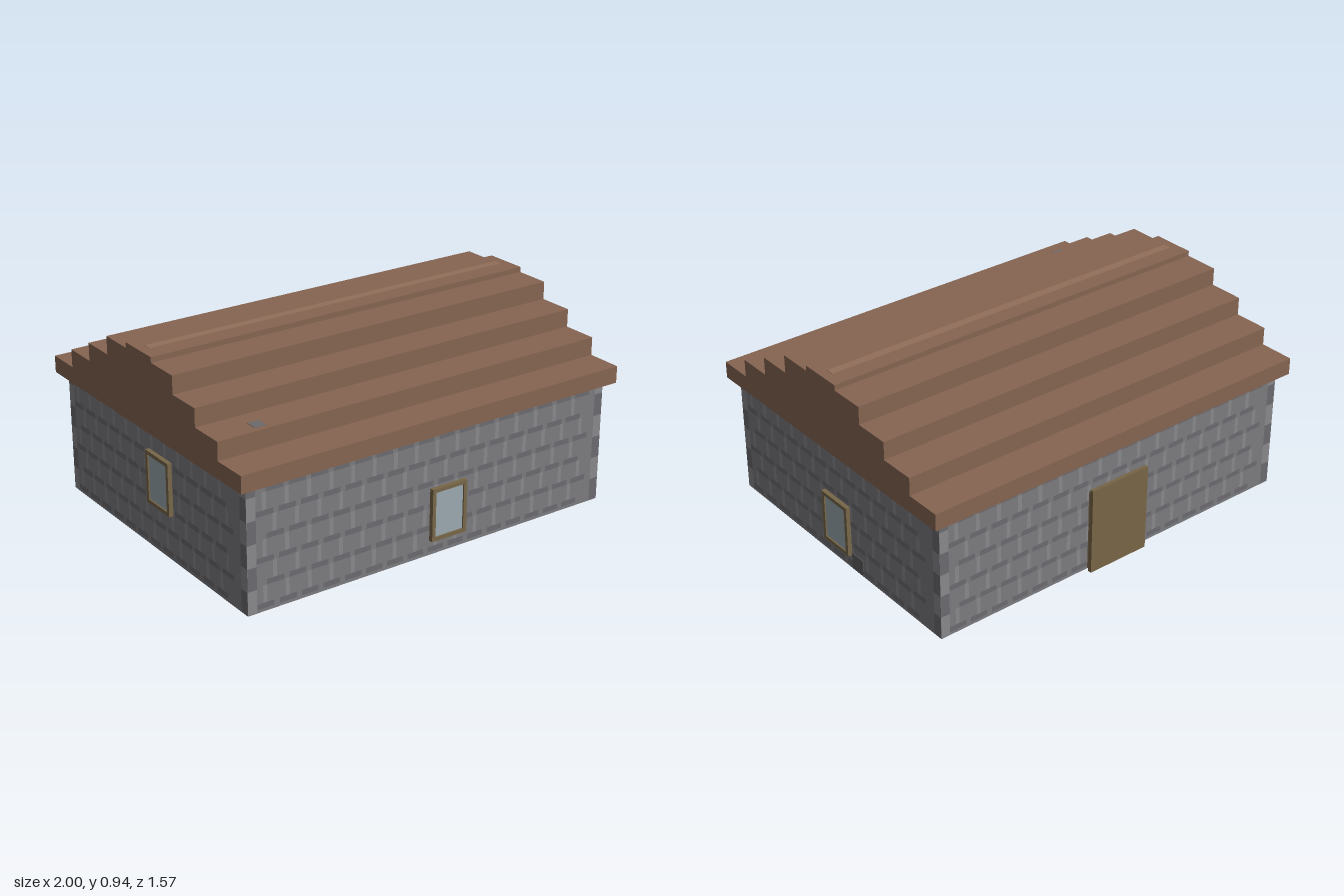
import * as THREE from 'three';
import { mergeGeometries } from 'three/addons/utils/BufferGeometryUtils.js';

const mat = (color, side = THREE.FrontSide) => {
  const m = new THREE.MeshStandardMaterial({ side });
  m.color.setHex(color);
  return m;
};
const stone = mat(0x7b7a7e), darkStone = mat(0x6b6a6f), lightStone = mat(0x88878b), patchStone = mat(0x5d5d60);
const roofWood = mat(0x866551), ridgeWood = mat(0x92705b), frameWood = mat(0x776749);
const doorWood = mat(0x776545), lintelWood = mat(0x8b7355), glass = mat(0x9ba8af), slate = mat(0x6d6a6b);

const W = 0.955, D = 0.745, H = 0.58;

function mesh(name, geometry, material) {
  const m = new THREE.Mesh(geometry, material);
  m.name = name;
  return m;
}

// Box given by its minimum and maximum corners
function box(name, a, b, material) {
  const g = new THREE.BoxGeometry(b[0] - a[0], b[1] - a[1], b[2] - a[2]);
  g.translate((a[0] + b[0]) / 2, (a[1] + b[1]) / 2, (a[2] + b[2]) / 2);
  return mesh(name, g, material);
}

function tile(x0, x1, y0, y1) {
  return new THREE.PlaneGeometry(x1 - x0, y1 - y0).translate((x0 + x1) / 2, (y0 + y1) / 2, 0.001);
}

// Staggered stone courses over a wall face, with alternating corner stones
function masonry(half) {
  const group = new THREE.Group();
  group.name = 'masonry';
  const dark = [], light = [];
  const inner = half - 0.045, step = 0.11, course = 0.105;
  for (let row = 0; row < 6; row++) {
    const y = 0.015 + row * course;
    const shift = (row % 2) * step * 0.45;
    for (let x = -inner + shift; x + 0.085 < inner; x += step) {
      dark.push(tile(x, x + 0.085, y, y + 0.025));
      if (row < 5) light.push(tile(x + 0.03, x + 0.05, y + 0.025, y + course));
    }
    for (const s of [-1, 1]) {
      const list = (row + (s > 0 ? 1 : 0)) % 2 ? dark : light;
      const x0 = s > 0 ? inner : -half;
      list.push(tile(x0, x0 + 0.045, y - 0.01, Math.min(y + course - 0.01, H)));
    }
  }
  group.add(mesh('darkStones', mergeGeometries(dark), darkStone));
  group.add(mesh('lightStones', mergeGeometries(light), lightStone));
  return group;
}

// Framed pane, centred on x with its sill at y
function windowUnit(x, y) {
  const group = new THREE.Group();
  group.name = 'window';
  const w = 0.188, h = 0.25, b = 0.018;
  const rect = (T, i) => new T([[i, i], [w - i, i], [w - i, h - i], [i, h - i]].map(p => new THREE.Vector2(...p)));
  const outline = rect(THREE.Shape, 0);
  outline.holes.push(rect(THREE.Path, b));
  group.add(mesh('windowFrame', new THREE.ExtrudeGeometry(outline, { depth: 0.021, bevelEnabled: false }), frameWood));
  group.add(box('windowPane', [b, b, 0], [w - b, h - b, 0.014], glass));
  group.position.set(x - w / 2, y, 0);
  return group;
}

function door(x) {
  const group = new THREE.Group();
  group.name = 'door';
  group.add(box('doorFrame', [-0.145, 0.004, 0], [0.145, 0.405, 0.022], lintelWood));
  group.add(box('doorLeaf', [-0.158, 0.004, 0.022], [0.158, 0.425, 0.04], doorWood));
  group.position.x = x;
  return group;
}

// Wall face in local axes: x along the wall, y up, z outward
function wallFace(name, angle, half, distance, ...parts) {
  const turn = new THREE.Group(), face = new THREE.Group();
  turn.name = name;
  turn.rotation.y = angle;
  face.name = name + 'Details';
  face.position.z = distance;
  face.add(masonry(half), ...parts);
  turn.add(face);
  return turn;
}

// Stepped gable profile extruded along x
function roof() {
  const group = new THREE.Group();
  group.name = 'roof';
  const halves = [0.785, 0.615, 0.445, 0.275, 0.105];
  const levels = [H, 0.66, 0.745, 0.83, 0.915, 0.94];
  const right = halves.flatMap((z, i) => [[z, levels[i]], [z, levels[i + 1]]]);
  const left = right.map(([z, y]) => [-z, y]).reverse();
  const shape = new THREE.Shape([...right, ...left].map(p => new THREE.Vector2(...p)));
  const g = new THREE.ExtrudeGeometry(shape, { depth: 2, bevelEnabled: false });
  g.translate(0, 0, -1).rotateY(Math.PI / 2);
  group.add(mesh('steppedRoof', g, roofWood));
  group.add(box('ridgeStrip', [-W, 0.93, -0.025], [W, 0.942, 0.015], ridgeWood));
  group.add(box('roofPatch', [-0.805, 0.74, 0.53], [-0.75, 0.747, 0.59], slate));
  return group;
}

export function createModel() {
  const model = new THREE.Group();
  model.name = 'stoneHouse';
  model.add(box('walls', [-W, 0, -D], [W, H, D], stone));
  model.add(wallFace('frontWall', 0, W, D, windowUnit(0.072, 0.07)));
  model.add(wallFace('backWall', Math.PI, W, D, door(-0.014)));
  model.add(wallFace('leftWall', Math.PI / 2, D, W, windowUnit(0.01, 0.07),
    box('darkStonePatch', [0.107, 0.004, -0.01], [0.188, 0.085, 0.003], patchStone)));
  model.add(wallFace('rightWall', -Math.PI / 2, D, W, windowUnit(0.072, 0.22)));
  model.add(roof());
  return model;
}
